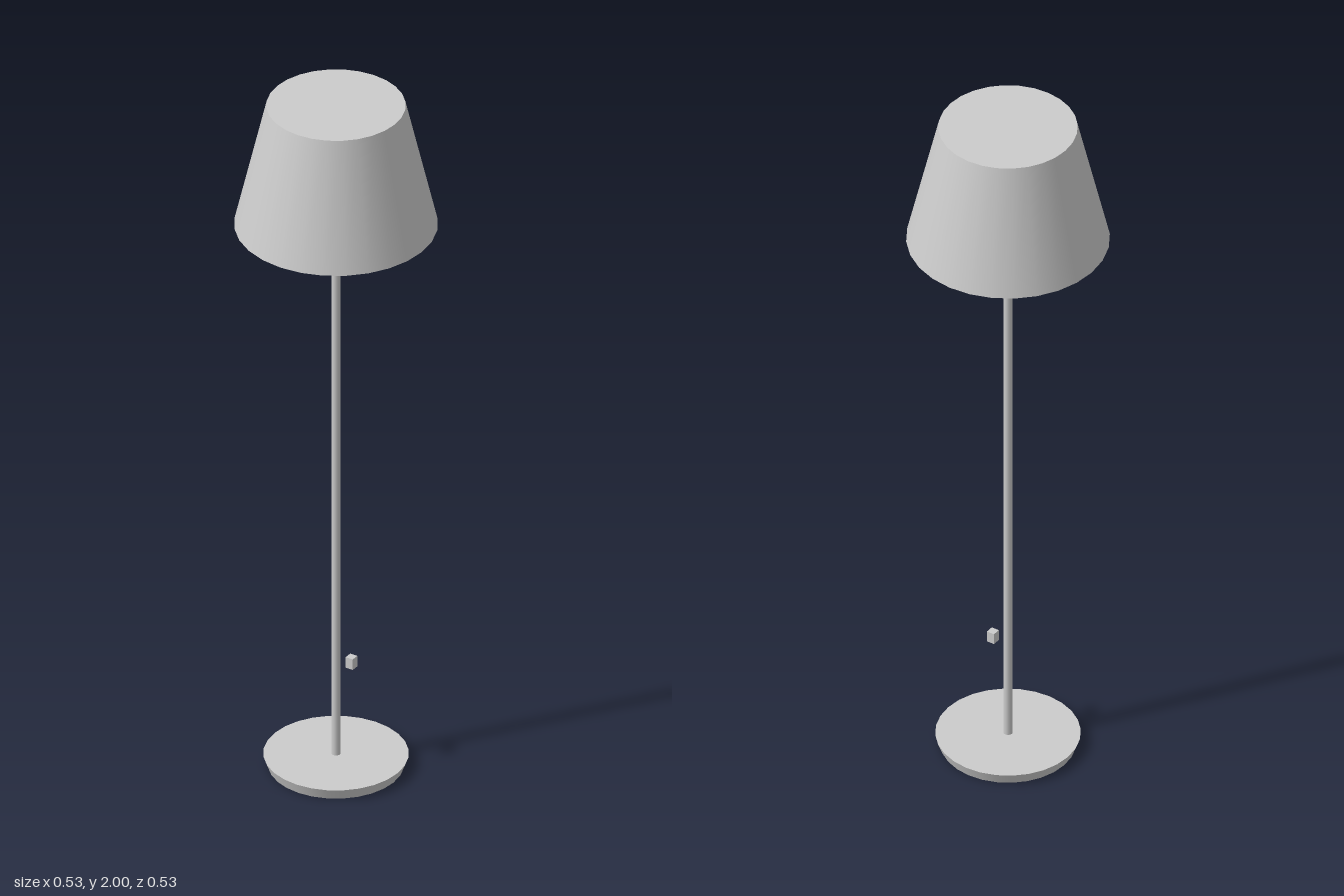
import * as THREE from 'three';

export function createModel() {
  const group = new THREE.Group();
  const lightGrey = new THREE.MeshStandardMaterial({ color: 0xcccccc });
  lightGrey.name = 'lightGrey';

  const add = (name, geometry, x, y) => {
    const mesh = new THREE.Mesh(geometry, lightGrey);
    mesh.name = name;
    mesh.position.set(x, y, 0);
    group.add(mesh);
  };

  // Round tapered part standing between two heights
  const addRound = (name, topRadius, bottomRadius, y0, y1, sides) =>
    add(name, new THREE.CylinderGeometry(topRadius, bottomRadius, y1 - y0, sides), 0, (y0 + y1) / 2);

  // Foot plate, slightly wider at its top
  addRound('base', 0.19, 0.178, 0, 0.032, 28);
  // Slim upright reaching the underside of the shade
  addRound('pole', 0.0125, 0.0125, 0.032, 1.65, 16);
  // Closed conical shade
  addRound('shade', 0.182, 0.266, 1.64, 2, 28);
  // Small switch hanging beside the pole
  add('switch', new THREE.BoxGeometry(0.022, 0.032, 0.022), 0.048, 0.325);

  return group;
}
